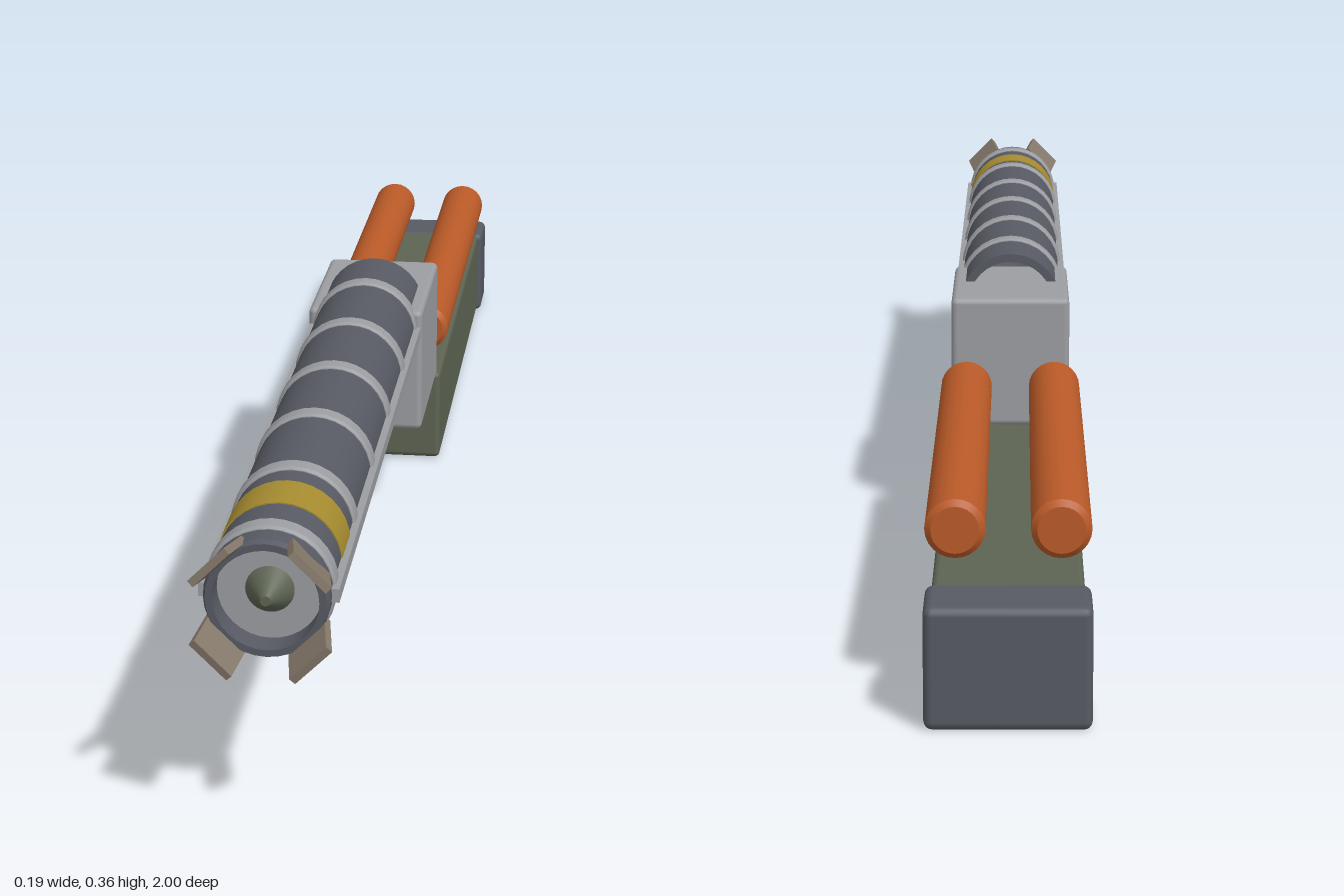
import * as THREE from 'three';
import { RoundedBoxGeometry } from 'three/addons/geometries/RoundedBoxGeometry.js';

const mat = (name, color, side = THREE.FrontSide) => {
  const m = new THREE.MeshStandardMaterial({ color, side });
  m.name = name;
  return m;
};

export function createModel() {
  const steel = mat('dark steel', 0x575a63);
  const grey = mat('light grey', 0x9c9da1);
  const green = mat('olive green', 0x5d6453);
  const orange = mat('burnt orange', 0xba5a28);
  const yellow = mat('warning yellow', 0xa68c30);
  const tan = mat('tan', 0x85786a);

  const model = new THREE.Group();
  model.name = 'launcher';
  const add = (name, geometry, material, x = 0, y = 0, z = 0, parent = model) => {
    const mesh = new THREE.Mesh(geometry, material);
    mesh.name = name;
    mesh.position.set(x, y, z);
    parent.add(mesh);
    return mesh;
  };
  // Lathe of hard-edged [radius, z] profile, turned so its axis runs along z
  const turned = (profile, segments = 32) => {
    const points = [];
    profile.forEach(([r, z], i) => {
      points.push(new THREE.Vector2(r, z));
      if (i > 0 && i < profile.length - 1) points.push(new THREE.Vector2(r, z + 1e-5));
    });
    return new THREE.LatheGeometry(points, segments).rotateX(Math.PI / 2);
  };

  // Stock and its butt cap
  add('stock', new RoundedBoxGeometry(0.17, 0.137, 0.76, 2, 0.008), green, 0, 0.0695, -0.57);
  add('buttCap', new RoundedBoxGeometry(0.184, 0.14, 0.09, 2, 0.01), steel, 0, 0.07, -0.955);

  // Receiver block
  add('receiver', new RoundedBoxGeometry(0.16, 0.177, 0.24, 2, 0.008), grey, 0, 0.2235, -0.075);

  // Spare rockets with chamfered ends
  const rocket = turned([
    [0, -0.342], [0.027, -0.342], [0.034, -0.335],
    [0.034, 0.335], [0.027, 0.342], [0, 0.342],
  ], 24);
  for (const s of [-1, 1]) add(s > 0 ? 'leftRocket' : 'rightRocket', rocket, orange, s * 0.059, 0.198, -0.56);

  // Barrel assembly around its own axis
  const barrel = new THREE.Group();
  barrel.name = 'barrelAssembly';
  barrel.position.y = 0.281;
  model.add(barrel);

  add('barrelTube', turned([
    [0.059, -0.075], [0.07, -0.075], [0.07, 0.95], [0.067, 0.957],
    [0.059, 0.957], [0.059, -0.075],
  ]), steel, 0, 0, 0, barrel);

  // Clamp rings along the barrel
  const ring = turned([
    [0.068, -0.014], [0.071, -0.014], [0.0735, -0.01],
    [0.0735, 0.01], [0.071, 0.014], [0.068, 0.014],
  ]);
  for (let i = 0; i < 6; i++) add('clampRing', ring, grey, 0, 0, 0.04 + i * 0.174, barrel);

  // Painted band
  add('warningBand', turned([
    [0.069, -0.033], [0.0715, -0.033], [0.0715, 0.033], [0.069, 0.033],
  ]), yellow, 0, 0, 0.817, barrel);

  // Side rails
  for (const s of [-1, 1]) {
    add('sideRail', new THREE.BoxGeometry(0.011, 0.016, 0.92), grey, s * 0.0725, 0, 0.475, barrel);
  }

  // Bore plug with the pointed warhead
  add('borePlug', new THREE.CylinderGeometry(0.0592, 0.0592, 0.02, 32).rotateX(Math.PI / 2), grey, 0, 0, 0.915, barrel);
  add('warhead', new THREE.CylinderGeometry(0.006, 0.032, 0.04, 32).rotateX(Math.PI / 2), green, 0, 0, 0.938, barrel);

  // Four flared muzzle plates
  for (let i = 0; i < 4; i++) {
    const arm = new THREE.Group();
    arm.name = 'muzzleFinArm';
    arm.rotation.z = Math.PI / 4 + i * Math.PI / 2;
    barrel.add(arm);
    const fin = add('muzzleFin', new THREE.BoxGeometry(0.009, 0.057, 0.06), tan, 0.0705, 0, 0.969, arm);
    fin.rotation.y = 0.23;
  }
  return model;
}
